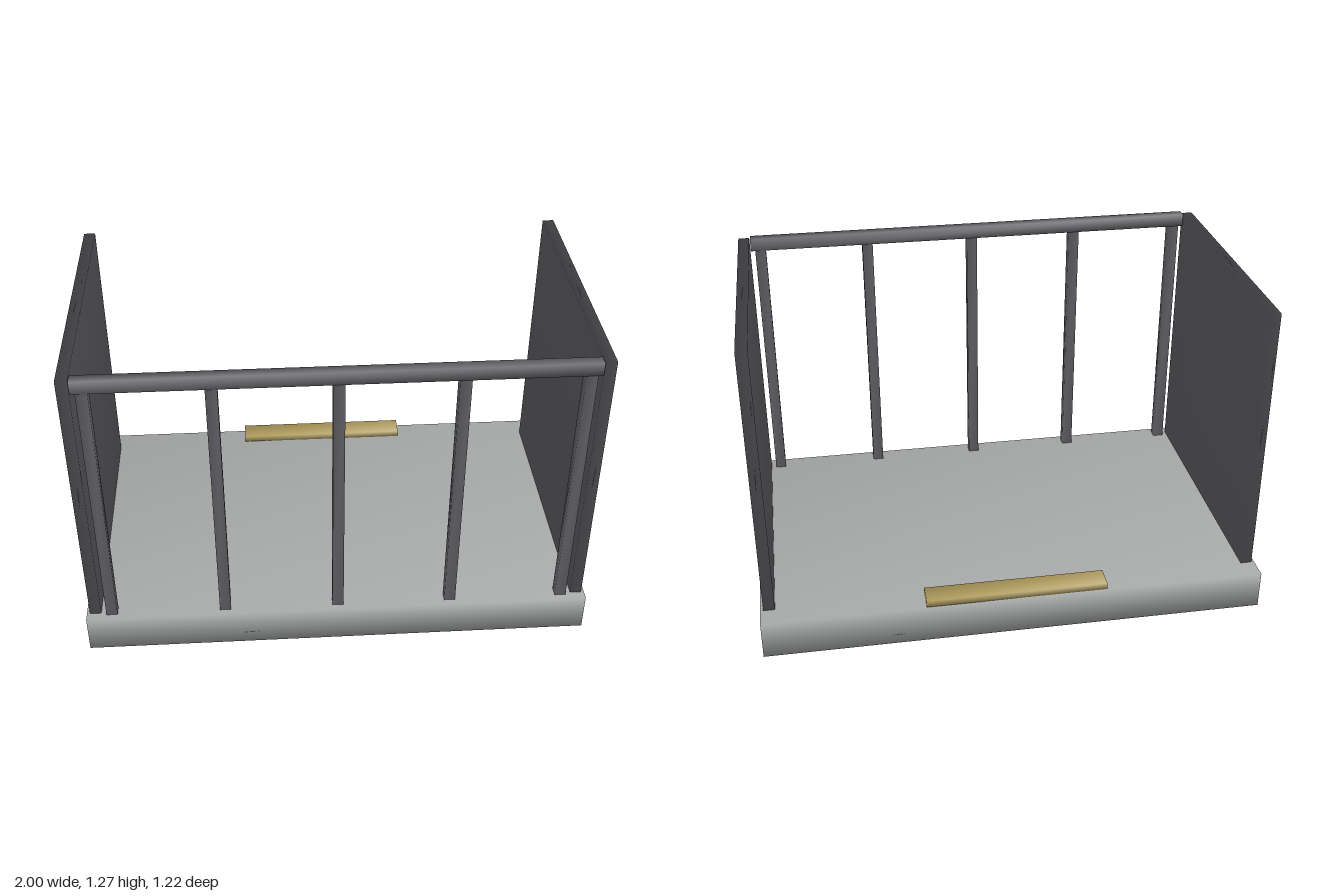
import * as THREE from 'three';
import { mergeVertices } from 'three/addons/utils/BufferGeometryUtils.js';

// Box given by its min and max corners, with shared corners for soft shading
function softBox(name, material, [x0, y0, z0], [x1, y1, z1]) {
  let geometry = new THREE.BoxGeometry(x1 - x0, y1 - y0, z1 - z0);
  geometry.deleteAttribute('normal');
  geometry.deleteAttribute('uv');
  geometry = mergeVertices(geometry);
  geometry.computeVertexNormals();
  const mesh = new THREE.Mesh(geometry, material);
  mesh.name = name;
  mesh.position.set((x0 + x1) / 2, (y0 + y1) / 2, (z0 + z1) / 2);
  return mesh;
}

export function createModel() {
  const stone = new THREE.MeshStandardMaterial({ color: 0xa6a8a8 });
  const iron = new THREE.MeshStandardMaterial({ color: 0x5e5e63 });
  const brass = new THREE.MeshStandardMaterial({ color: 0xab985a });

  const model = new THREE.Group();
  model.name = 'balcony';
  const floorY = 0.155;

  // Floor slab
  model.add(softBox('floorSlab', stone, [-1, 0, -0.612], [1, floorY, 0.612]));

  // Side walls
  model.add(softBox('leftWall', iron, [0.943, floorY, -0.525], [0.988, 1.268, 0.576]));
  model.add(softBox('rightWall', iron, [-0.988, floorY, -0.525], [-0.943, 1.268, 0.576]));

  // Front railing: five posts under a top rail
  const railing = new THREE.Group();
  railing.name = 'railing';
  for (let i = -2; i <= 2; i++) {
    const x = i * 0.45;
    railing.add(softBox('railingPost', iron, [x - 0.022, floorY, 0.547], [x + 0.022, 1.25, 0.587]));
  }
  railing.add(softBox('topRail', iron, [-0.94, 1.22, 0.545], [0.94, 1.272, 0.589]));
  model.add(railing);

  // Door sill at the back edge
  model.add(softBox('doorSill', brass, [-0.36, 0.158, -0.611], [0.36, 0.187, -0.523]));

  return model;
}
